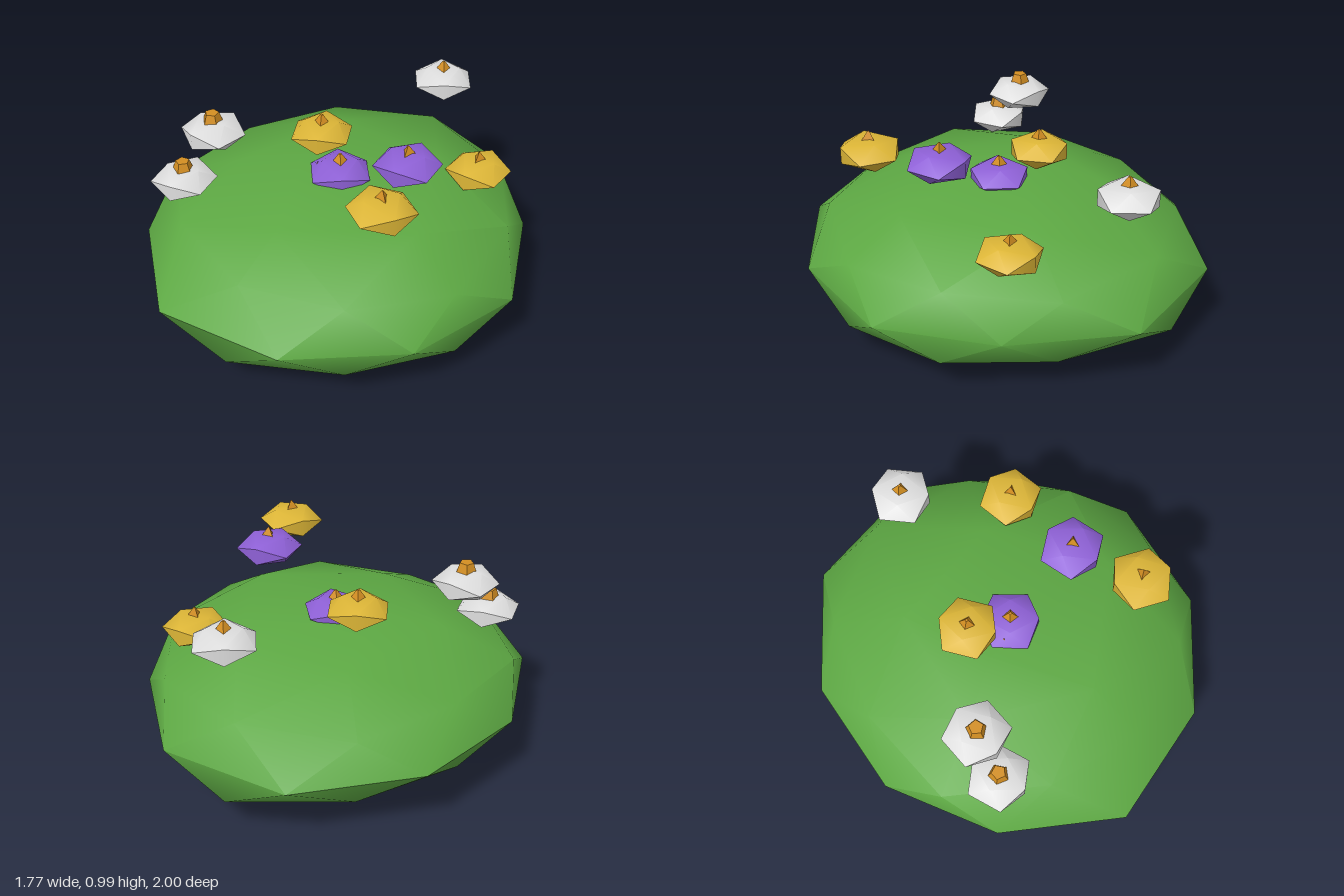
import * as THREE from 'three';
import { mergeVertices, toCreasedNormals } from 'three/addons/utils/BufferGeometryUtils.js';

const mat = (name, color) => {
  const m = new THREE.MeshStandardMaterial({ color });
  m.name = name;
  return m;
};

// Icosphere with shared corners, ready for reshaping
function icosphere(detail) {
  const g = new THREE.IcosahedronGeometry(1, detail);
  g.deleteAttribute('normal');
  g.deleteAttribute('uv');
  return mergeVertices(g, 1e-3);
}

// Corners moved away from the plain flattened sphere:
// [azimuth in degrees, unit height, x, y, z]
const BUSH_CORNERS = [
  [0, 1, -0.17, 0.68, 0.1], [0, -1, -0.13, 0, -0.33],
  // equator
  [18, 0, 0.88, 0.35, 0.28], [54, 0, 0.56, 0.35, 0.76], [90, 0, 0, 0.35, 1],
  [126, 0, -0.54, 0.35, 0.745], [162, 0, -0.865, 0.35, 0.28], [198, 0, -0.89, 0.35, -0.29],
  [234, 0, -0.59, 0.35, -0.81], [270, 0, 0, 0.35, -1], [306, 0, 0.52, 0.35, -0.72],
  [342, 0, 0.885, 0.35, -0.29],
  // upper ring
  [0, 0.447, 0.82, 0.49, 0], [72, 0.447, 0.23, 0.52, 0.73], [108, 0.526, -0.24, 0.565, 0.725],
  [180, 0.526, -0.77, 0.52, 0], [252, 0.526, -0.26, 0.535, -0.81], [0, 0.85, 0.55, 0.65, 0],
  // lower ring
  [0, -0.526, 0.84, 0.17, 0], [72, -0.526, 0.27, 0.16, 0.84], [108, -0.447, -0.26, 0.2, 0.8],
  [180, -0.447, -0.8, 0.205, 0], [252, -0.447, -0.29, 0.187, -0.9],
];

function bushGeometry() {
  const g = icosphere(1);
  g.rotateX(-Math.atan((1 + Math.sqrt(5)) / 2)); // one corner straight up
  g.rotateY(Math.PI / 2);
  const p = g.attributes.position;
  const v = new THREE.Vector3(), d = new THREE.Vector3();
  const targets = BUSH_CORNERS.map(([az, h, x, y, z]) => {
    const a = THREE.MathUtils.degToRad(az), r = Math.sqrt(1 - h * h);
    d.set(r * Math.cos(a), h, r * Math.sin(a));
    let best = 0, near = Infinity;
    for (let i = 0; i < p.count; i++) {
      const dist = v.fromBufferAttribute(p, i).distanceTo(d);
      if (dist < near) { near = dist; best = i; }
    }
    return [best, x, y, z];
  });
  g.scale(0.94, 0.345, 0.94);
  g.translate(0, 0.35, 0);
  targets.forEach(([i, x, y, z]) => p.setXYZ(i, x, y, z));
  return toCreasedNormals(g, 0.92);
}

export function createModel() {
  const model = new THREE.Group();
  model.name = 'floweringBush';
  const green = mat('leafGreen', 0x5da843);
  const white = mat('petalWhite', 0xdedede);
  const yellow = mat('petalYellow', 0xdcb536);
  const purple = mat('petalPurple', 0x8e60d6);
  const orange = mat('centreOrange', 0xd48f22);

  const add = (parent, name, geo, material, x = 0, y = 0, z = 0) => {
    const m = new THREE.Mesh(geo, material);
    m.name = name;
    m.position.set(x, y, z);
    parent.add(m);
    return m;
  };

  add(model, 'bush', bushGeometry(), green);

  // Flattened blossoms, each with a small pointed or blunt centre
  const petals = icosphere(0);
  petals.scale(0.155, 0.076, 0.155);
  const petalGeo = toCreasedNormals(petals, 0.9);
  const centre = (sides, topRadius) =>
    new THREE.CylinderGeometry(topRadius, 0.058, 0.075, sides, 1).toNonIndexed();
  const centres = {
    pointed: centre(3, 0.004),
    square: centre(4, 0.008),
    blunt: centre(5, 0.033),
  };
  Object.values(centres).forEach((g) => g.computeVertexNormals());

  // [colour, x, y, z, yaw, kind of centre]
  const flowers = [
    [white, -0.43, 0.84, 0.41, 0.15, 'blunt'],
    [white, -0.43, 0.645, 0.585, 0.5, 'blunt'],
    [white, -0.13, 0.845, -0.74, 0.9, 'square'],
    [yellow, -0.2, 0.77, -0.045, 0.75, 'square'],
    [yellow, 0.56, 0.885, 0.21, 1.3, 'pointed'],
    [yellow, 0.35, 0.645, -0.55, 0.3, 'pointed'],
    [purple, 0, 0.675, 0, 1.0, 'square'],
    [purple, 0.38, 0.89, -0.08, 0.4, 'pointed'],
  ];
  for (const [material, x, y, z, yaw, kind] of flowers) {
    const flower = new THREE.Group();
    flower.name = 'flower';
    flower.position.set(x, y, z);
    flower.rotation.y = yaw;
    add(flower, 'petals', petalGeo, material);
    add(flower, 'flowerCentre', centres[kind], orange, 0, 0.063, 0);
    model.add(flower);
  }

  // Tiny bud peeking out beside the middle purple flower
  add(model, 'bud', new THREE.ConeGeometry(0.022, 0.04, 4), orange, -0.078, 0.7, 0.07);

  return model;
}
